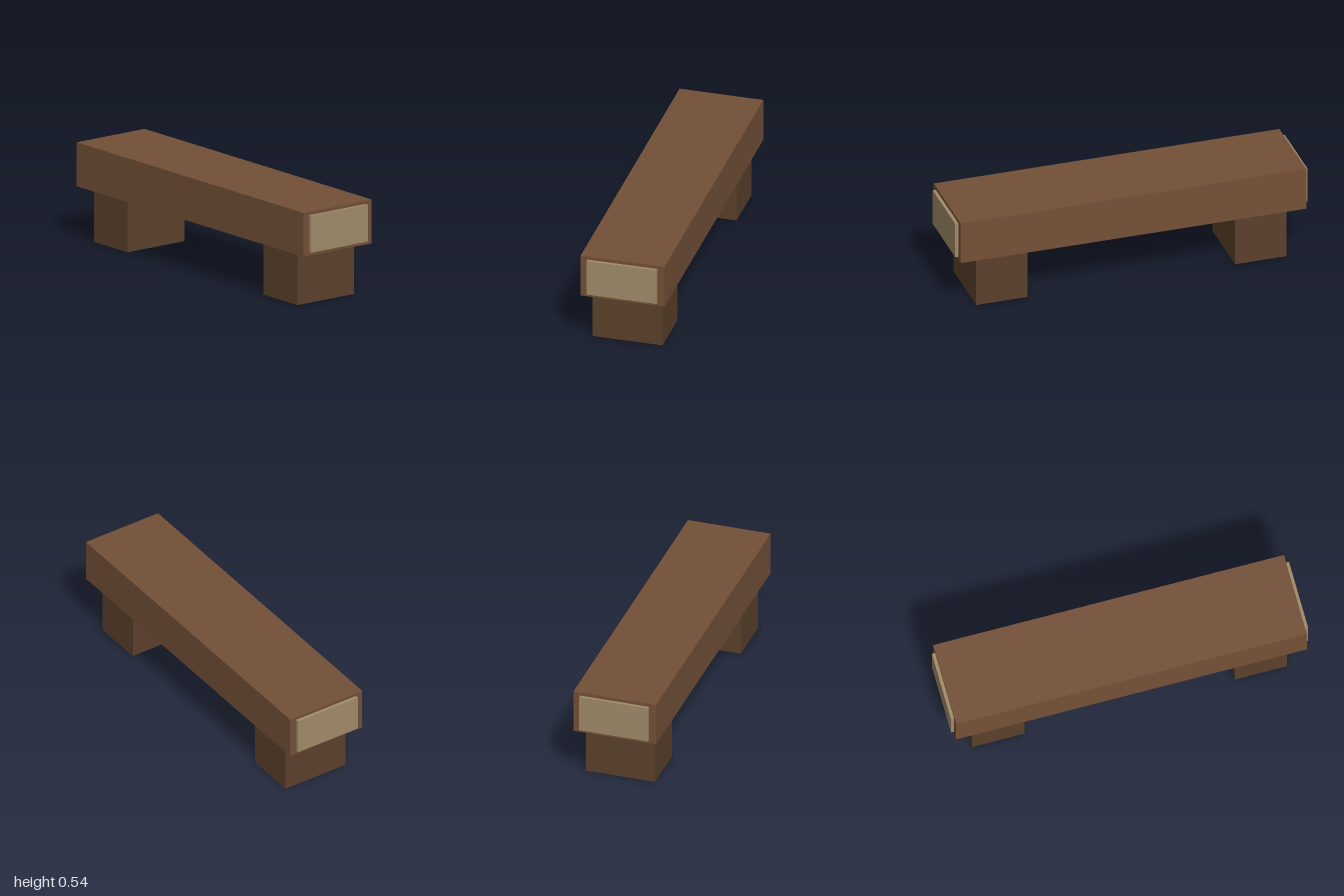
import * as THREE from 'three';

export function createModel() {
  const group = new THREE.Group();
  const wood = new THREE.MeshStandardMaterial({ color: 0x735037 });
  const darkWood = new THREE.MeshStandardMaterial({ color: 0x5b402b });
  const endGrain = new THREE.MeshStandardMaterial({ color: 0xa08a69 });

  // Box placed by its centre x, bottom y and size
  const addBox = (name, material, x, bottom, width, height, depth) => {
    const mesh = new THREE.Mesh(new THREE.BoxGeometry(width, height, depth), material);
    mesh.name = name;
    mesh.position.set(x, bottom + height / 2, 0);
    group.add(mesh);
  };

  // Thick seat beam
  addBox('seat', wood, 0, 0.296, 1.964, 0.245, 0.47);

  // Block legs and the pale panels on both ends
  for (const [side, s] of [['left', 1], ['right', -1]]) {
    addBox(`${side}Leg`, darkWood, s * 0.735, 0, 0.292, 0.296, 0.392);
    addBox(`${side}EndPanel`, endGrain, s * 0.985, 0.316, 0.03, 0.206, 0.392);
  }

  return group;
}
